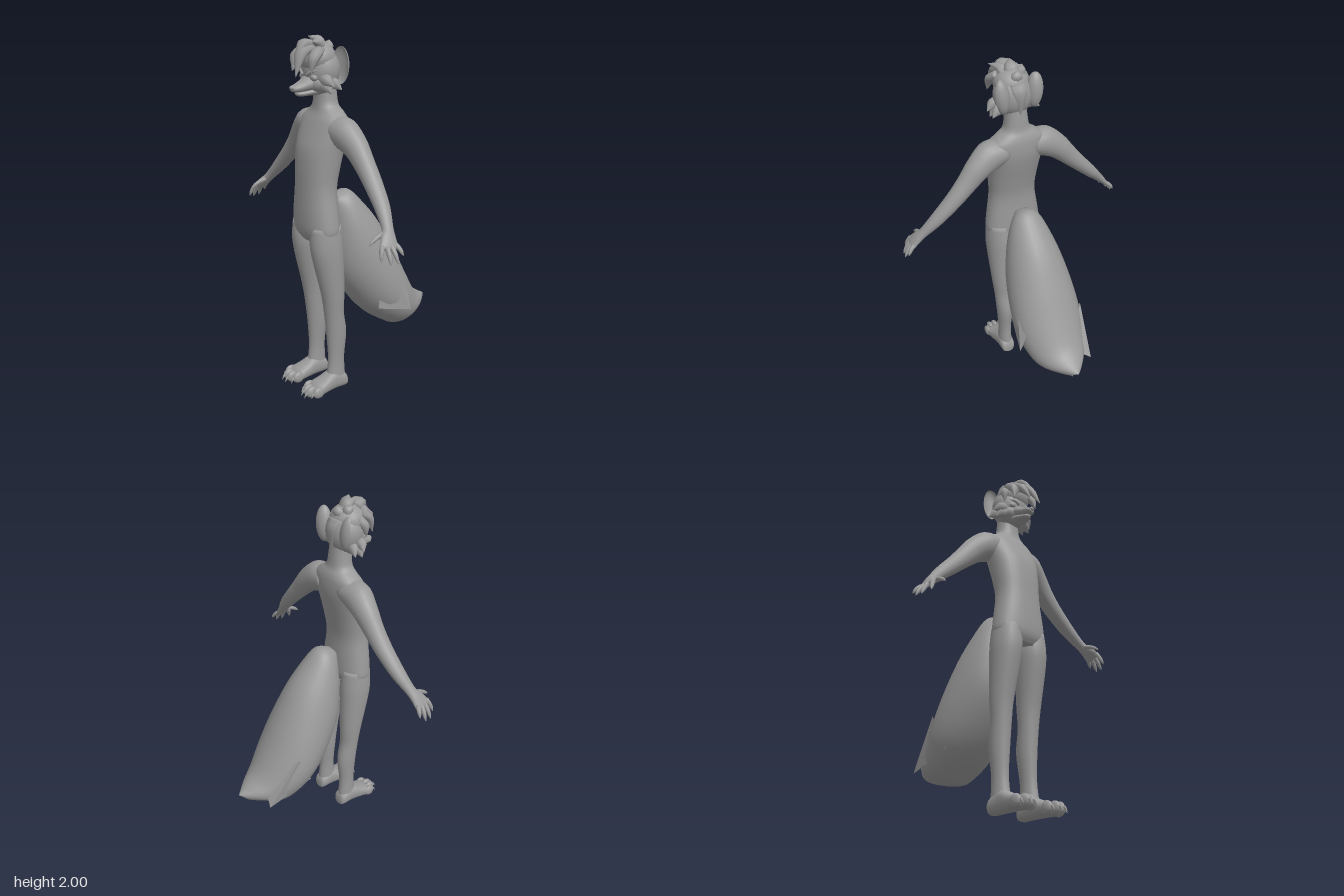
import * as THREE from 'three';
import { ConvexGeometry } from 'three/addons/geometries/ConvexGeometry.js';

const V = (x, y, z) => new THREE.Vector3(x, y, z);
const fur = new THREE.MeshStandardMaterial({ color: 0x999999 });
fur.name = 'grey fur';

// Smooth closed skin over elliptical rings {c, u, v}: centre and two half-axes
function loft(rings, n = 20, sub = 4, pow = 1) {
  const curves = ['c', 'u', 'v'].map(k =>
    new THREE.CatmullRomCurve3(rings.map(r => r[k]), false, 'catmullrom', 0.5));
  const m = (rings.length - 1) * sub, pos = [], idx = [];
  const bend = k => Math.sign(k) * Math.abs(k) ** pow;
  let turn = 0, last = null;
  for (let i = 0; i <= m; i++) {
    const [c, u, v] = curves.map(k => k.getPoint(i / m));
    if (last) turn += c.clone().sub(last).dot(u.clone().cross(v).normalize());
    last = c;
    for (let j = 0; j < n; j++) {
      const a = j / n * Math.PI * 2;
      const p = c.clone().addScaledVector(u, bend(Math.cos(a))).addScaledVector(v, bend(Math.sin(a)));
      pos.push(p.x, p.y, p.z);
    }
  }
  const tri = (a, b, c) => turn > 0 ? idx.push(a, b, c) : idx.push(a, c, b);
  for (let i = 0; i < m; i++) for (let j = 0; j < n; j++) {
    const a = i * n + j, b = i * n + (j + 1) % n;
    tri(a, b, b + n);
    tri(a, b + n, a + n);
  }
  // end caps
  const c0 = rings[0].c, c1 = rings[rings.length - 1].c, e = (m + 1) * n;
  pos.push(c0.x, c0.y, c0.z, c1.x, c1.y, c1.z);
  for (let j = 0; j < n; j++) {
    const k = (j + 1) % n;
    tri(e, k, j);
    tri(e + 1, m * n + j, m * n + k);
  }
  const g = new THREE.BufferGeometry();
  g.setAttribute('position', new THREE.Float32BufferAttribute(pos, 3));
  g.setIndex(idx);
  g.computeVertexNormals();
  return g;
}

// Rows [y, x0, x1, z0, z1]: level slices
const level = (rows, s = 1) => rows.map(([y, a, b, c, d]) =>
  ({ c: V(s * (a + b) / 2, y, (c + d) / 2), u: V((b - a) / 2, 0, 0), v: V(0, 0, (d - c) / 2) }));
// Rows [z, x0, x1, y0, y1]: slices facing forward
const facing = (rows, s = 1) => rows.map(([z, a, b, c, d]) =>
  ({ c: V(s * (a + b) / 2, (c + d) / 2, z), u: V((b - a) / 2, 0, 0), v: V(0, (d - c) / 2, 0) }));
// Rows [x, y, z, ru, rv]: slices square to the path, rv lying along ref
function limb(rows, s = 1, ref = V(0, 0, 1)) {
  const p = rows.map(r => V(s * r[0], r[1], r[2]));
  return rows.map((r, i) => {
    const d = p[Math.min(i + 1, p.length - 1)].clone().sub(p[Math.max(i - 1, 0)]).normalize();
    const u = ref.clone().cross(d).normalize();
    return { c: p[i], u: u.clone().multiplyScalar(r[3]), v: d.clone().cross(u).multiplyScalar(r[4]) };
  });
}

export function createModel() {
  const model = new THREE.Group();
  const add = (name, geo) => {
    const mesh = new THREE.Mesh(geo, fur);
    mesh.name = name;
    model.add(mesh);
    return mesh;
  };
  const ball = (name, c, r) => {
    const mesh = add(name, new THREE.SphereGeometry(1, 20, 14));
    mesh.position.set(...c);
    mesh.scale.set(...r);
    return mesh;
  };
  // Pointed lock of fur: root, middle, tip, thickness, width
  const tuft = (name, a, b, c, t, w, s = 1, ref = V(1, 0, 0)) =>
    add(name, loft(limb([[...a, t, w], [...b, t * 0.8, w * 0.75], [...c, 0.001, 0.001]], s, ref), 8, 4));

  // Torso and neck
  add('torso', loft(level([
    [0.91, -0.12, 0.12, 0.24, 0.375], [0.96, -0.168, 0.168, 0.212, 0.4], [1.05, -0.162, 0.162, 0.21, 0.405],
    [1.2, -0.14, 0.14, 0.212, 0.4], [1.32, -0.147, 0.147, 0.19, 0.395], [1.42, -0.158, 0.158, 0.165, 0.383],
    [1.5, -0.17, 0.17, 0.15, 0.355], [1.57, -0.17, 0.17, 0.15, 0.325], [1.61, -0.125, 0.125, 0.158, 0.305],
    [1.645, -0.078, 0.078, 0.172, 0.298], [1.7, -0.065, 0.065, 0.178, 0.295], [1.78, -0.06, 0.06, 0.185, 0.3],
  ]), 32, 4, 0.88));

  for (const s of [1, -1]) {
    const side = s > 0 ? 'left' : 'right';
    // Legs
    add(side + 'Leg', loft(level([
      [1.0, 0.02, 0.165, 0.22, 0.39], [0.9, 0.01, 0.174, 0.208, 0.398], [0.8, 0.018, 0.174, 0.206, 0.385],
      [0.6, 0.038, 0.165, 0.205, 0.34], [0.48, 0.046, 0.155, 0.208, 0.323], [0.35, 0.05, 0.15, 0.19, 0.312],
      [0.2, 0.063, 0.141, 0.205, 0.305], [0.1, 0.063, 0.143, 0.202, 0.315], [0.04, 0.06, 0.148, 0.2, 0.33],
    ], s), 24));
    // Feet with four clawed toes
    add(side + 'Foot', loft(facing([
      [0.193, 0.075, 0.13, 0.005, 0.05], [0.21, 0.06, 0.147, 0, 0.085], [0.28, 0.055, 0.15, 0, 0.115],
      [0.35, 0.047, 0.16, 0, 0.088], [0.4, 0.043, 0.167, 0, 0.07], [0.425, 0.055, 0.155, 0.01, 0.05],
    ], s), 20, 4, 0.8));
    [[0.057, 0.415], [0.09, 0.437], [0.123, 0.437], [0.154, 0.41]].forEach(([x, z]) => {
      ball(side + 'Toe', [s * x, 0.034, z], [0.018, 0.034, 0.036]);
      tuft(side + 'ToeClaw', [x, 0.035, z + 0.02], [x, 0.033, z + 0.037], [x, 0.012, z + 0.052], 0.011, 0.008, s);
    });
    // Arms
    add(side + 'Arm', loft(limb([
      [0.08, 1.53, 0.235, 0.07, 0.08], [0.17, 1.513, 0.23, 0.086, 0.078], [0.25, 1.46, 0.22, 0.071, 0.066],
      [0.32, 1.388, 0.218, 0.058, 0.055], [0.4, 1.305, 0.222, 0.047, 0.05], [0.5, 1.205, 0.238, 0.037, 0.042],
      [0.58, 1.122, 0.265, 0.025, 0.031], [0.61, 1.09, 0.283, 0.022, 0.04], [0.642, 1.052, 0.3, 0.015, 0.05],
      [0.65, 1.04, 0.303, 0.008, 0.04],
    ], s), 20));
    // Fingers and thumb: knuckle, tip
    [[0.632, 1.063, 0.338, 0.662, 0.993, 0.365], [0.643, 1.053, 0.315, 0.69, 0.975, 0.325],
      [0.646, 1.052, 0.29, 0.695, 0.978, 0.285], [0.642, 1.058, 0.265, 0.686, 1.008, 0.248],
      [0.588, 1.108, 0.285, 0.592, 1.06, 0.387]].forEach(([a, b, c, x, y, z], i) => {
      const rows = [[0, 0.013], [0.5, 0.012], [0.8, 0.009], [1, 0.002]].map(([t, r]) =>
        [a + (x - a) * t, b + (y - b) * t + 0.03 * t * (1 - t), c + (z - c) * t, r, r]);
      add(side + (i < 4 ? 'Finger' : 'Thumb'), loft(limb(rows, s, V(1, 0, 0)), 10, 3));
    });
    // Cupped ears
    const ear = ball(side + 'Ear', [s * 0.098, 1.855, 0.203], [0.046, 0.098, 0.042]);
    const p = ear.geometry.attributes.position;
    for (let i = 0; i < p.count; i++) if (p.getZ(i) > 0) p.setZ(i, p.getZ(i) * -0.6 + 0.15 * (1 - Math.abs(p.getY(i))));
    ear.geometry.computeVertexNormals();
    ear.rotation.set(0.08, s * 0.5, s * -0.1);
    // Cheek fur, eyes and brows
    tuft('cheekFur', [0.075, 1.79, 0.29], [0.115, 1.78, 0.29], [0.15, 1.755, 0.275], 0.035, 0.035, s, V(0, 0, 1));
    tuft('cheekFur', [0.07, 1.76, 0.29], [0.105, 1.745, 0.285], [0.133, 1.718, 0.28], 0.032, 0.035, s, V(0, 0, 1));
    tuft('cheekFur', [0.075, 1.77, 0.25], [0.11, 1.76, 0.24], [0.142, 1.735, 0.225], 0.035, 0.03, s, V(0, 0, 1));
    ball(side + 'Eye', [s * 0.052, 1.797, 0.337], [0.024, 0.018, 0.018]);
    tuft(side + 'Brow', [0.02, 1.808, 0.358], [0.05, 1.828, 0.35], [0.085, 1.835, 0.32], 0.01, 0.012, s, V(0, 0, 1));
  }

  // Skull, muzzle, lower jaw and nose
  ball('skull', [0, 1.83, 0.262], [0.112, 0.122, 0.098]);
  ball('jawBase', [0, 1.765, 0.28], [0.1, 0.062, 0.08]);
  add('muzzle', loft(facing([
    [0.3, -0.07, 0.07, 1.715, 1.84], [0.35, -0.055, 0.055, 1.722, 1.805], [0.39, -0.04, 0.04, 1.722, 1.778],
    [0.425, -0.03, 0.03, 1.724, 1.762], [0.44, -0.018, 0.018, 1.73, 1.755],
  ])));
  add('lowerJaw', loft(facing([
    [0.28, -0.06, 0.06, 1.7, 1.76], [0.35, -0.045, 0.045, 1.7, 1.74], [0.395, -0.028, 0.028, 1.7, 1.728],
    [0.415, -0.012, 0.012, 1.708, 1.722],
  ])));
  ball('nose', [0, 1.748, 0.438], [0.017, 0.012, 0.012]);

  // Hair cap and locks
  ball('hairCap', [0, 1.89, 0.28], [0.1, 0.085, 0.095]);
  [
    [[0.0, 1.945, 0.33], [0.03, 1.915, 0.4], [0.06, 1.81, 0.45], 0.03, 0.06],
    [[-0.03, 1.94, 0.33], [-0.025, 1.9, 0.395], [0.0, 1.835, 0.43], 0.03, 0.055],
    [[-0.05, 1.93, 0.32], [-0.07, 1.89, 0.37], [-0.085, 1.82, 0.385], 0.03, 0.045],
    [[0.05, 1.93, 0.31], [0.085, 1.89, 0.36], [0.095, 1.825, 0.38], 0.03, 0.045],
    [[-0.07, 1.91, 0.29], [-0.1, 1.87, 0.32], [-0.105, 1.81, 0.325], 0.03, 0.03],
    [[0.0, 1.95, 0.31], [0.01, 1.965, 0.37], [0.03, 1.9, 0.43], 0.03, 0.055],
    [[0.0, 1.93, 0.26], [0.0, 1.98, 0.28], [-0.015, 2.0, 0.325], 0.035, 0.05],
    [[0.03, 1.93, 0.28], [0.05, 1.97, 0.31], [0.09, 1.98, 0.36], 0.03, 0.04],
    [[-0.03, 1.93, 0.25], [-0.045, 1.965, 0.25], [-0.06, 1.98, 0.27], 0.03, 0.035],
    [[0.0, 1.92, 0.23], [0.0, 1.955, 0.21], [0.0, 1.975, 0.205], 0.03, 0.04],
    [[0.0, 1.9, 0.215], [0.0, 1.85, 0.185], [0.0, 1.74, 0.175], 0.04, 0.06],
  ].forEach(l => tuft('hairLock', ...l));

  // Bushy tail, rows: upper y, z, lower y, z, half width
  add('tail', loft([
    [1.14, 0.18, 1.09, 0.21, 0.04], [1.155, 0.1, 0.98, 0.212, 0.09], [1.08, 0.02, 0.83, 0.21, 0.135],
    [0.95, -0.085, 0.66, 0.18, 0.175], [0.77, -0.185, 0.49, 0.085, 0.203], [0.6, -0.27, 0.37, -0.015, 0.205],
    [0.46, -0.35, 0.285, -0.13, 0.172], [0.4, -0.42, 0.25, -0.215, 0.125], [0.375, -0.46, 0.3, -0.405, 0.045],
    [0.362, -0.482, 0.352, -0.47, 0.004],
  ].map(([y, z, b, d, w]) => ({ c: V(0, (y + b) / 2, (z + d) / 2), u: V(w, 0, 0), v: V(0, (y - b) / 2, (z - d) / 2) })), 28));

  // Angular fur points breaking the tail outline
  [
    [0.228, 0.413, -0.195, 0.17, 0.8, -0.05, 0.17, 0.56, -0.2, 0.17, 0.45, 0.0, 0.1, 0.5, -0.12],
    [-0.16, 0.32, -0.37, -0.19, 0.6, -0.18, -0.04, 0.42, -0.33, -0.17, 0.4, -0.08, -0.08, 0.42, -0.22],
    [0.02, 0.33, -0.455, 0.0, 0.4, -0.36, 0.07, 0.33, -0.35, 0.0, 0.28, -0.34, -0.05, 0.34, -0.34],
  ].forEach(a => {
    const pts = [0, 3, 6, 9, 12].map(i => V(a[i], a[i + 1], a[i + 2]));
    add('tailFurPoint', new ConvexGeometry(pts));
  });
  return model;
}
